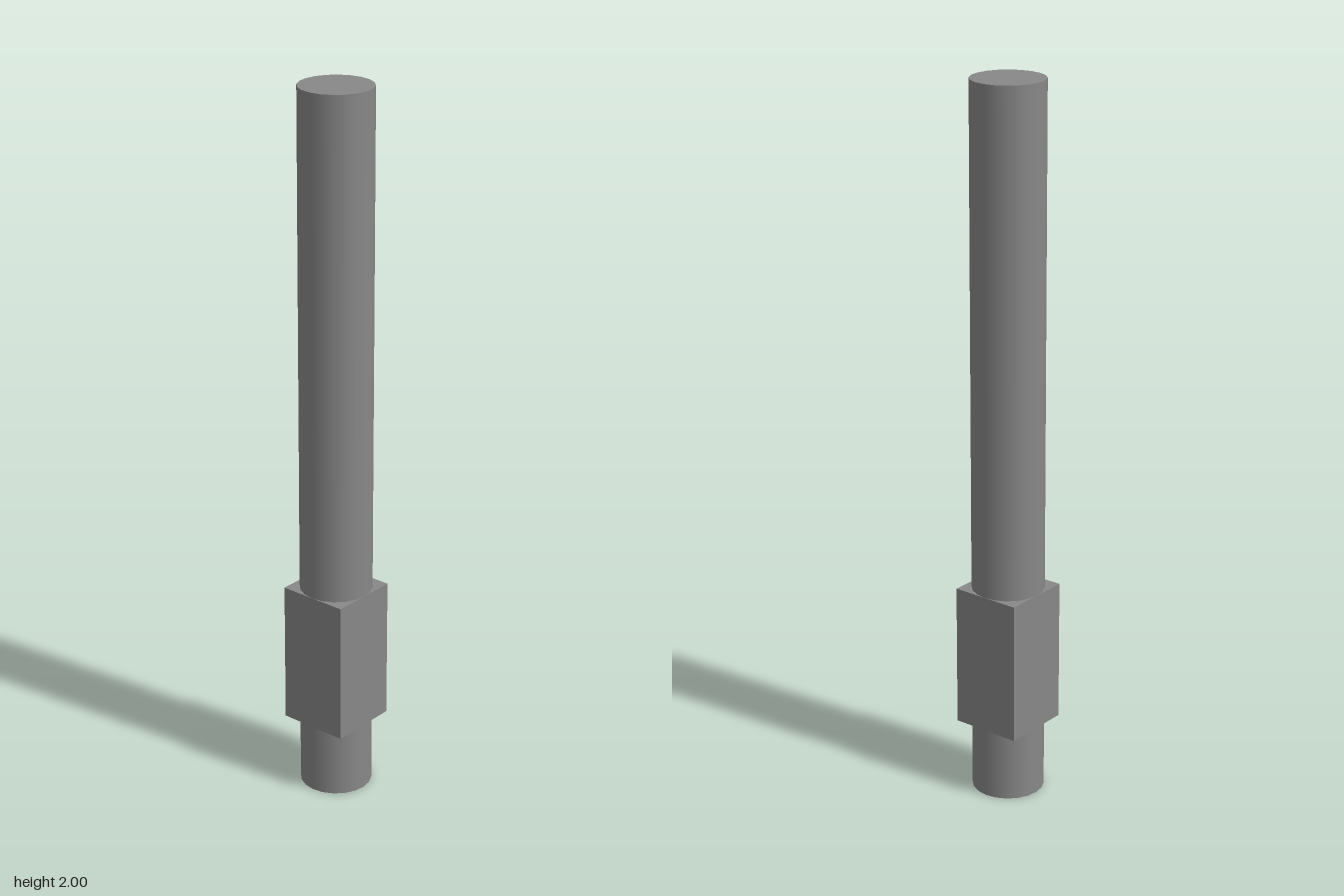
import * as THREE from 'three';

const RADIUS = 0.1;
const SIDES = 20;

export function createModel() {
  const model = new THREE.Group();
  const material = new THREE.MeshStandardMaterial({ color: 0x888888 });

  const addPart = (name, geometry, bottom, top) => {
    const mesh = new THREE.Mesh(geometry, material);
    mesh.name = name;
    mesh.position.y = (bottom + top) / 2;
    model.add(mesh);
  };
  const addRod = (name, bottom, top) =>
    addPart(name, new THREE.CylinderGeometry(RADIUS, RADIUS, top - bottom, SIDES), bottom, top);

  // Short round tip below the block
  addRod('lowerPeg', 0, 0.2);

  // Square block, as wide as the rod
  addPart('squareBlock', new THREE.BoxGeometry(2 * RADIUS, 0.4, 2 * RADIUS), 0.2, 0.6);

  // Long round shaft above the block
  addRod('upperShaft', 0.6, 2);

  return model;
}
